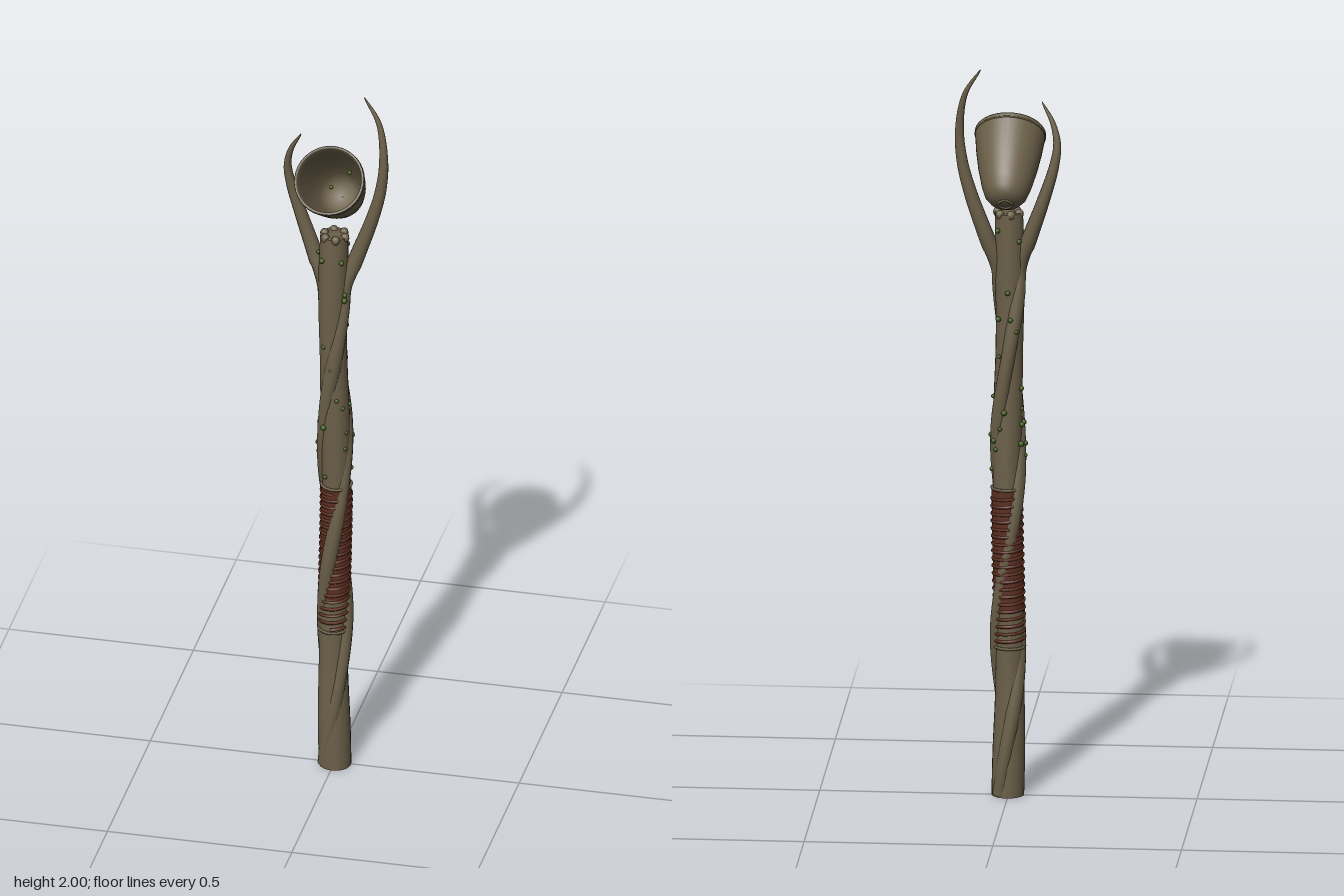
import * as THREE from 'three';

const mat = (name, color, side = THREE.FrontSide) => {
  const m = new THREE.MeshStandardMaterial({ color, side });
  m.name = name;
  return m;
};
const V = (x, y, z) => new THREE.Vector3(x, y, z);
const TWIST = 6; // radians per unit of height
const angleAt = (y, phase) => TWIST * (y - 1.2) + phase;

// tube whose radius follows a rule of height
function taperedTube(points, segs, sides, radiusAt) {
  const curve = new THREE.CatmullRomCurve3(points);
  const g = new THREE.TubeGeometry(curve, segs, 1, sides, false);
  const p = g.attributes.position, v = V(0, 0, 0);
  for (let i = 0; i <= segs; i++) {
    const c = curve.getPointAt(i / segs), r = radiusAt(c.y);
    for (let j = 0; j <= sides; j++) {
      const k = i * (sides + 1) + j;
      v.fromBufferAttribute(p, k).sub(c).multiplyScalar(r).add(c);
      p.setXYZ(k, v.x, v.y, v.z);
    }
  }
  return g;
}

export function createModel() {
  const root = new THREE.Group();
  root.name = 'staff';
  const wood = mat('weathered wood', 0x6b6049);
  const woodOpen = mat('bell wood', 0x6b6049, THREE.DoubleSide);
  const leather = mat('rust wrap', 0x5c2e20);
  const moss = mat('moss green', 0x415c1a);
  const add = (name, geo, m, parent = root) => {
    const mesh = new THREE.Mesh(geo, m);
    mesh.name = name;
    parent.add(mesh);
    return mesh;
  };

  // central shaft, gently swaying and slightly irregular
  const sway = y => [0.004 * Math.sin(y * 6 + 2.6), 0.004 * Math.cos(y * 5)];
  const shaftRadius = y => 0.038 + 0.005 * Math.max(0, 1 - y / 0.5) + 0.0015 * Math.sin(y * 14);
  const shaft = new THREE.CylinderGeometry(1, 1, 1.6, 20, 60);
  shaft.translate(0, 0.805, 0);
  const p = shaft.attributes.position;
  for (let i = 0; i < p.count; i++) {
    const y = p.getY(i), [sx, sz] = sway(y), r = shaftRadius(y);
    p.setXYZ(i, p.getX(i) * r + sx, Math.max(0, y - 0.005), p.getZ(i) * r + sz);
  }
  shaft.computeVertexNormals();
  add('shaft', shaft, wood);

  // two twisting branches that spread into horns around the bell
  const horns = [
    { name: 'leftBranch', phase: 0, tip: 2.0, pts: [[0.06, 1.54, -0.01], [0.098, 1.65, -0.015],
      [0.121, 1.74, -0.016], [0.128, 1.83, -0.02], [0.112, 1.93, -0.034], [0.07, 2.0, -0.043]] },
    { name: 'rightBranch', phase: Math.PI, tip: 1.9, pts: [[-0.06, 1.54, -0.012], [-0.095, 1.64, -0.018],
      [-0.122, 1.73, -0.016], [-0.13, 1.79, -0.01], [-0.118, 1.845, 0], [-0.088, 1.9, 0.012]] },
  ];
  for (const h of horns) {
    const pts = [];
    for (let y = 0.006; y < 1.46; y += 0.06) {
      const a = angleAt(y, h.phase);
      pts.push(V(0.028 * Math.sin(a), y, 0.028 * Math.cos(a)));
    }
    h.pts.forEach(q => pts.push(V(...q)));
    const radius = y => y < 1.5 ? 0.02 + 0.0015 * Math.sin(y * 17 + h.phase)
      : 0.001 + 0.021 * Math.pow(Math.max(0, (h.tip - y) / (h.tip - 1.5)), 0.62);
    add(h.name, taperedTube(pts, 150, 14, radius), wood);
    const end = add(h.name + 'End', new THREE.CircleGeometry(0.02, 14), wood);
    end.rotation.x = Math.PI / 2;
    end.position.copy(pts[0]).setY(0.004);
  }

  // cord wound around the grip
  const coil = [];
  for (let i = 0; i <= 20 * 12; i++) {
    const t = i / 240, y = 0.42 + 0.41 * t, a = i / 12 * Math.PI * 2, [sx, sz] = sway(y);
    coil.push(V(sx + 0.04 * Math.sin(a), y, sz + 0.04 * Math.cos(a)));
  }
  add('gripCord', new THREE.TubeGeometry(new THREE.CatmullRomCurve3(coil), 480, 0.0045, 6), leather);
  const sleeve = new THREE.CylinderGeometry(0.0405, 0.0405, 0.33, 24, 12, true);
  sleeve.translate(0, 0.675, 0);
  const s = sleeve.attributes.position;
  for (let i = 0; i < s.count; i++) {
    const [sx, sz] = sway(s.getY(i));
    s.setXYZ(i, s.getX(i) + sx, s.getY(i), s.getZ(i) + sz);
  }
  add('gripSleeve', sleeve, leather);
  for (const y of [0.41, 0.845]) {
    const ring = add('gripBand', new THREE.TorusGeometry(0.04, 0.004, 6, 24), wood);
    ring.rotation.x = Math.PI / 2;
    ring.position.set(sway(y)[0], y, sway(y)[1]);
  }

  // moss beads scattered over the upper shaft
  let seed = 7;
  const rand = () => (seed = (seed * 16807) % 2147483647) / 2147483647;
  const bead = new THREE.SphereGeometry(1, 10, 8);
  for (let i = 0; i < 34; i++) {
    const y = i < 20 ? 0.88 + 0.26 * rand() : 1.18 + 0.4 * rand();
    const a = rand() * Math.PI * 2;
    const d = Math.abs(Math.sin(a - angleAt(y, 0)));
    const r = 0.039 + 0.007 * (1 - d);
    const m = add('mossBead', bead, moss);
    m.position.set(r * Math.sin(a), y, r * Math.cos(a));
    m.scale.setScalar(0.005 + 0.003 * rand());
  }

  // knobs on the shaft's broken top
  for (let i = 0; i < 6; i++) {
    const a = i * Math.PI / 3 + 0.3;
    const k = add('topKnob', bead, wood);
    k.position.set(0.03 * Math.sin(a), 1.597, 0.03 * Math.cos(a));
    k.scale.set(0.012, 0.013, 0.012);
  }

  // tilted bell cup, mouth facing forward and up
  const bell = new THREE.Group();
  bell.name = 'bell';
  bell.position.set(0, 1.653, -0.102);
  bell.rotation.x = 0.856;
  root.add(bell);
  const profile = [[0.001, -0.006], [0.022, -0.005], [0.042, 0.004], [0.056, 0.022], [0.066, 0.052], [0.078, 0.105],
    [0.087, 0.16], [0.092, 0.205], [0.094, 0.222], [0.091, 0.226], [0.086, 0.222], [0.083, 0.195], [0.077, 0.15],
    [0.068, 0.1], [0.056, 0.052], [0.04, 0.024], [0.001, 0.016]].map(q => new THREE.Vector2(...q));
  add('bellCup', new THREE.LatheGeometry(profile, 40), woodOpen, bell);
  const rim = add('bellRim', new THREE.TorusGeometry(0.092, 0.0025, 6, 40), wood, bell);
  rim.rotation.x = Math.PI / 2;
  rim.position.y = 0.212;
  const foot = add('bellFootRing', new THREE.TorusGeometry(0.018, 0.004, 8, 20), wood, bell);
  foot.rotation.x = Math.PI / 2;
  foot.position.y = -0.005;

  // moss beads inside the bell
  for (const [x, y, z, r] of [[0, 1.765, 0.041, 0.006], [0.037, 1.783, -0.015, 0.006]]) {
    const m = add('bellBead', bead, moss);
    m.position.set(x, y, z);
    m.scale.setScalar(r);
  }
  return root;
}
